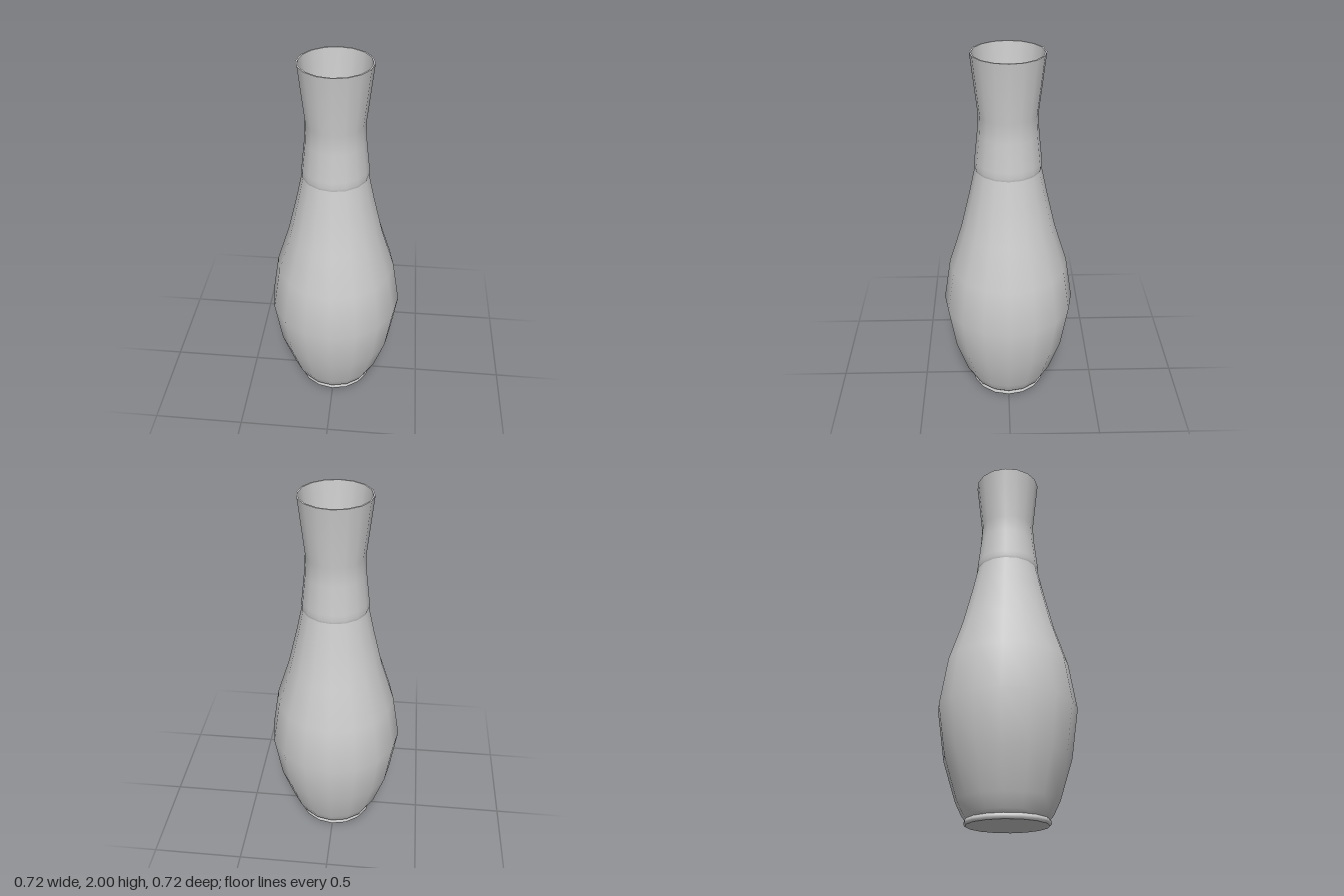
import * as THREE from 'three';

const SIDES = 16;
const material = new THREE.MeshStandardMaterial({ color: 0xcccccc });

// Revolves a [radius, height] profile; smooth inside each part, sharp between parts
function turned(name, profile) {
  const points = profile.map(([r, y]) => new THREE.Vector2(r, y));
  const mesh = new THREE.Mesh(new THREE.LatheGeometry(points, SIDES), material);
  mesh.name = name;
  return mesh;
}

export function createModel() {
  const vase = new THREE.Group();
  vase.name = 'vase';
  vase.add(
    // Slightly domed underside
    turned('base', [[0, 0], [0.13, 0.005], [0.205, 0.01]]),
    // Small rolled edge around the base
    turned('foot', [[0.205, 0.01], [0.213, 0.018], [0.213, 0.028], [0.207, 0.038]]),
    // Swelling belly, tapering to the shoulder
    turned('body', [[0.207, 0.038], [0.222, 0.055], [0.257, 0.125], [0.322, 0.33], [0.36, 0.59],
      [0.32, 0.84], [0.25, 1.06], [0.2, 1.27], [0.17, 1.41]]),
    // Waisted neck flaring to the mouth
    turned('neck', [[0.17, 1.41], [0.173, 1.425], [0.17, 1.455], [0.154, 1.6], [0.148, 1.7], [0.181, 2]]),
    turned('rim', [[0.181, 2], [0.173, 2]]),
    // Hollow inside the mouth, narrowing to a shallow floor
    turned('mouthInterior', [[0.173, 2], [0.139, 1.7], [0.095, 1.42], [0, 1.37]]),
  );
  return vase;
}
